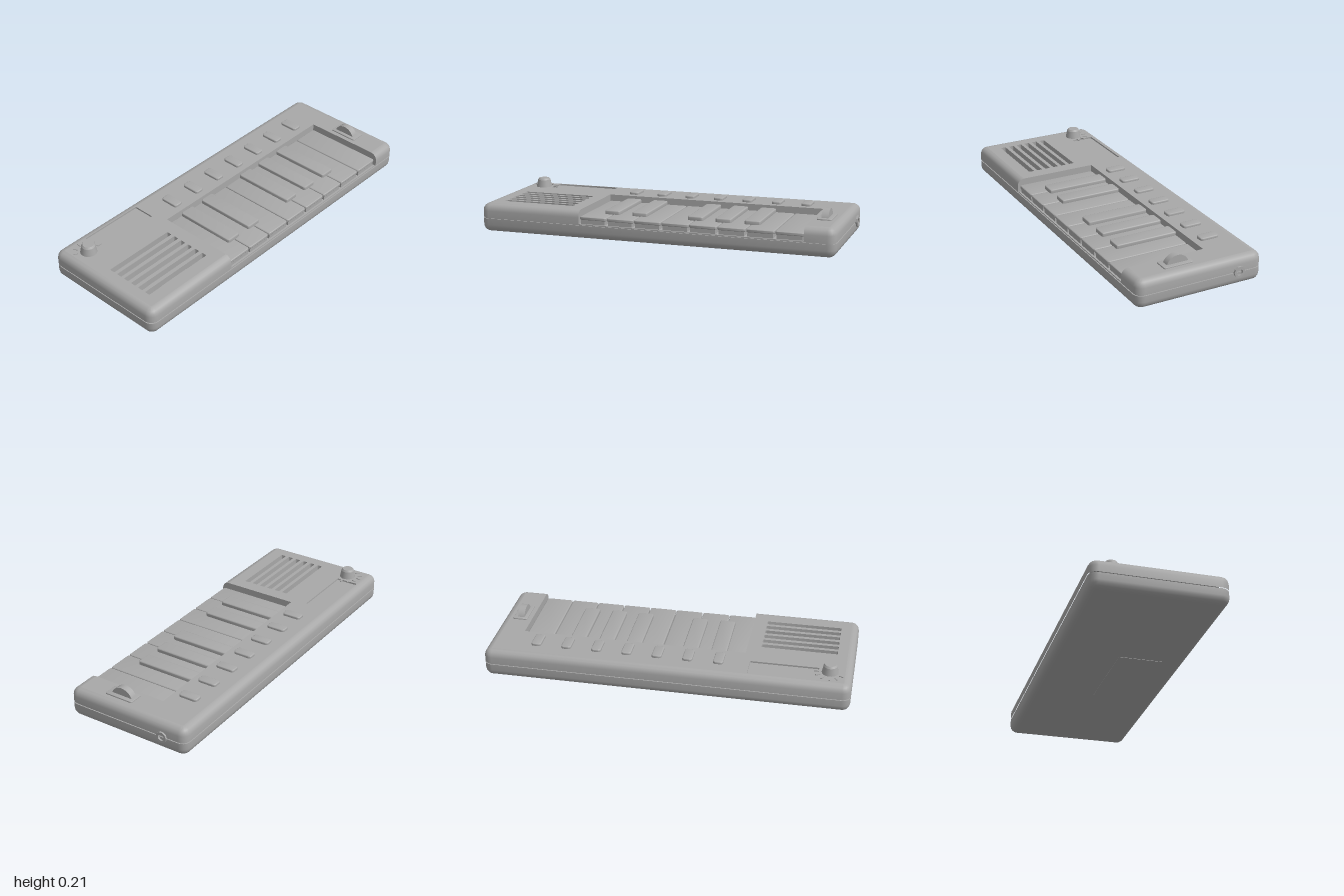
import * as THREE from 'three';
import { toCreasedNormals } from 'three/addons/utils/BufferGeometryUtils.js';

const X0 = -1, X1 = 0.99, Z = 0.36, R = 0.045, ROUND = 0.04;
const KEY_X0 = -0.415, KEY_X1 = 0.825, KEY_BACK = -0.11, WHITE = 8;

// Plan outline (shape y = -z), counter-clockwise, optionally notched for the keys
function outline(inset, notch) {
  const pts = [], f = -(Z - inset);
  const corners = [[X1 - R, R - Z], [X1 - R, Z - R], [X0 + R, Z - R], [X0 + R, R - Z]];
  if (notch) pts.push([KEY_X1, f]);
  corners.forEach(([cx, cy], c) => {
    for (let i = 0; i <= 5; i++) {
      const a = (c - 1 + i / 5) * Math.PI / 2;
      pts.push([cx + (R - inset) * Math.cos(a), cy + (R - inset) * Math.sin(a)]);
    }
  });
  if (notch) pts.push([KEY_X0, f], [KEY_X0, -KEY_BACK], [KEY_X1, -KEY_BACK]);
  return pts.map(([x, y]) => new THREE.Vector2(x, y));
}

// Side skin through [inset, y] levels listed from bottom to top
function skin(levels, notch) {
  const pos = [], idx = [];
  let n = 0;
  levels.forEach(([inset, y]) => {
    const loop = outline(inset, notch);
    n = loop.length;
    loop.forEach(p => pos.push(p.x, y, -p.y));
  });
  for (let l = 0; l < levels.length - 1; l++) {
    for (let i = 0; i < n; i++) {
      const a = l * n + i, b = l * n + (i + 1) % n;
      idx.push(a, b, b + n, a, b + n, a + n);
    }
  }
  const g = new THREE.BufferGeometry();
  g.setAttribute('position', new THREE.Float32BufferAttribute(pos, 3));
  g.setIndex(idx);
  return toCreasedNormals(g, 0.6);
}

// Upright prism over a plan shape, with an optional bevel inside its outline
function prism(shape, y0, y1, bevel = 0) {
  const g = new THREE.ExtrudeGeometry(shape, {
    depth: y1 - y0 - 2 * bevel, bevelEnabled: bevel > 0, bevelThickness: bevel,
    bevelSize: bevel, bevelOffset: -bevel, bevelSegments: 3, curveSegments: 5,
  });
  g.rotateX(-Math.PI / 2).translate(0, y0 + bevel, 0);
  return toCreasedNormals(g, 0.6);
}

function roundRect(C, x0, x1, z0, z1, r) {
  const s = new C(), a = -z1, b = -z0, H = Math.PI / 2;
  s.absarc(x1 - r, a + r, r, -H, 0);
  s.absarc(x1 - r, b - r, r, 0, H);
  s.absarc(x0 + r, b - r, r, H, 2 * H);
  s.absarc(x0 + r, a + r, r, 2 * H, 3 * H);
  s.closePath();
  return s;
}

export function createModel() {
  const model = new THREE.Group();
  model.name = 'miniKeyboard';
  const grey = new THREE.MeshStandardMaterial({ color: 0xa8a8a8 });
  grey.name = 'plainGrey';

  const add = (name, geometry, x = 0, y = 0, z = 0) => {
    const m = new THREE.Mesh(geometry, grey);
    m.name = name;
    m.position.set(x, y, z);
    model.add(m);
    return m;
  };
  const slab = (name, x0, x1, y0, y1, z0, z1, r, bevel) =>
    add(name, prism(roundRect(THREE.Shape, x0, x1, z0, z1, r), y0, y1, bevel));
  const box = (name, x0, x1, y0, y1, z0, z1) =>
    add(name, new THREE.BoxGeometry(x1 - x0, y1 - y0, z1 - z0),
      (x0 + x1) / 2, (y0 + y1) / 2, (z0 + z1) / 2);

  // Lower and upper shells with rounded rims, parted by a narrow seam
  const low = [], high = [[0, 0.083]];
  for (let i = 0; i <= 4; i++) {
    const t = i / 4 * Math.PI / 2;
    const inset = ROUND * (1 - Math.cos(t)), rise = ROUND * Math.sin(t);
    low.unshift([inset, 0.042 - rise]);
    high.push([inset, 0.119 + rise]);
  }
  low.push([0, 0.077]);
  add('lowerShell', skin(low, false));
  add('lowerShellBase', prism(new THREE.Shape(outline(ROUND, false)), 0.002, 0.05));
  add('lowerShellTop', prism(new THREE.Shape(outline(0, false)), 0.07, 0.077));
  add('seamCore', prism(new THREE.Shape(outline(0.006, false)), 0.06, 0.083));
  add('upperShell', skin(high, true));

  // Top plate, pierced by the grille slots and the display window
  const top = new THREE.Shape(outline(ROUND, true));
  for (let i = 0; i < 6; i++) {
    const z = -0.018 + i * 0.051;
    top.holes.push(roundRect(THREE.Path, -0.905, -0.49, z - 0.015, z + 0.015, 0.006));
  }
  top.holes.push(roundRect(THREE.Path, -0.82, -0.45, -0.315, -0.19, 0.005));
  add('topPlate', prism(top, 0.12, 0.159));
  box('display', -0.83, -0.44, 0.13, 0.15, -0.318, -0.18);
  add('speaker', new THREE.CylinderGeometry(0.145, 0.145, 0.04, 40), -0.7, 0.105, 0.11);

  // White keys: overhanging caps on narrower stems
  const pitch = (KEY_X1 - KEY_X0) / WHITE;
  for (let i = 0; i < WHITE; i++) {
    const x = KEY_X0 + i * pitch;
    slab('whiteKey', x + 0.002, x + pitch - 0.002, 0.106, 0.124, KEY_BACK, 0.348, 0.012, 0.005);
    box('whiteKeyStem', x + 0.009, x + pitch - 0.009, 0.08, 0.11, KEY_BACK, 0.343);
  }
  // Black keys
  for (const x of [-0.265, -0.108, 0.208, 0.363, 0.522]) {
    slab('blackKey', x - 0.043, x + 0.043, 0.11, 0.145, KEY_BACK, 0.243, 0.012, 0.006);
  }
  // Row of push buttons
  for (let i = 0; i < 7; i++) {
    const x = -0.285 + i * 0.1675;
    slab('button', x - 0.027, x + 0.027, 0.15, 0.173, -0.255, -0.147, 0.015, 0.005);
  }

  // Volume knob with dial marks
  add('knob', new THREE.CylinderGeometry(0.037, 0.045, 0.042, 24), -0.88, 0.179, -0.222);
  add('knobTop', new THREE.CylinderGeometry(0.03, 0.037, 0.01, 24), -0.88, 0.205, -0.222);
  for (let i = 0; i < 6; i++) {
    const a = i * Math.PI / 6;
    const mark = add('dialMark', new THREE.BoxGeometry(0.026, 0.006, 0.009),
      -0.88 + 0.072 * Math.cos(a), 0.16, -0.222 - 0.072 * Math.sin(a));
    mark.rotation.y = a;
  }

  // Thumb wheel standing in its low surround
  slab('wheelSurround', 0.85, 0.93, 0.15, 0.166, 0.01, 0.175, 0.008, 0.002);
  const wheel = add('thumbWheel', new THREE.CylinderGeometry(0.065, 0.065, 0.037, 32), 0.888, 0.143, 0.088);
  wheel.rotation.z = Math.PI / 2;

  // Socket ring on the left side
  const circle = (r, n) => Array.from({ length: n }, (_, i) =>
    new THREE.Vector2(r * Math.cos(i * 2 * Math.PI / n), r * Math.sin(i * 2 * Math.PI / n)));
  const ring = new THREE.Shape(circle(0.031, 10));
  ring.holes.push(new THREE.Path(circle(0.018, 12)));
  const socket = add('socket',
    new THREE.ExtrudeGeometry(ring, { depth: 0.03, bevelEnabled: false }), 0.97, 0.08, -0.22);
  socket.rotation.y = Math.PI / 2;

  // Battery cover underneath
  box('batteryCover', -0.265, 0.265, 0, 0.006, -0.01, 0.235);
  return model;
}
